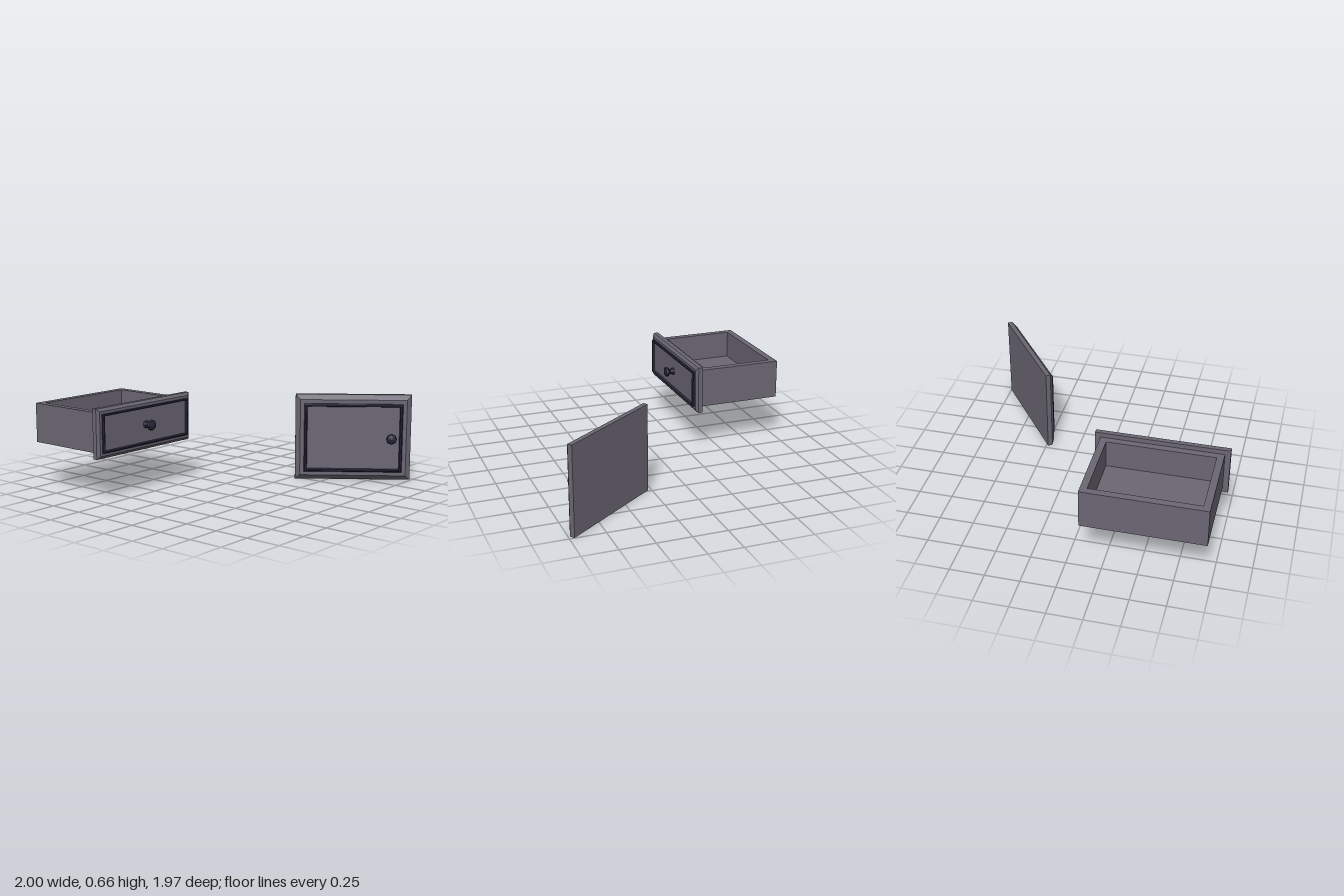
import * as THREE from 'three';

const wood = new THREE.MeshStandardMaterial({ color: 0x6b6774, flatShading: true });
const dark = new THREE.MeshStandardMaterial({ color: 0x29253b, flatShading: true });

// Skins a chain of rectangles [width, height, z]; caps close the first and last one
function rectLoft(rings, caps = true) {
  const loops = rings.map(([w, h, z]) =>
    [[1, 1], [-1, 1], [-1, -1], [1, -1]].map(([sx, sy]) => [sx * w / 2, sy * h / 2, z]));
  const pos = [];
  const quad = (a, b, c, d) => pos.push(...a, ...b, ...c, ...a, ...c, ...d);
  for (let r = 0; r < loops.length - 1; r++) {
    for (let i = 0; i < 4; i++) {
      const j = (i + 1) % 4;
      quad(loops[r][i], loops[r][j], loops[r + 1][j], loops[r + 1][i]);
    }
  }
  if (caps) {
    quad(...[...loops[0]].reverse());
    quad(...loops[loops.length - 1]);
  }
  const geo = new THREE.BufferGeometry();
  geo.setAttribute('position', new THREE.Float32BufferAttribute(pos, 3));
  geo.computeVertexNormals();
  return geo;
}

function part(name, geo, mat, x = 0, y = 0, z = 0) {
  const mesh = new THREE.Mesh(geo, mat);
  mesh.name = name;
  mesh.position.set(x, y, z);
  return mesh;
}

// Panel with a bevelled front, a raised moulding and a knob; its back lies on z = 0
function panelFront(name, { w, h, edge, depth, bevel, margin, trim, rise, knobX, knobY }) {
  const group = new THREE.Group();
  group.name = name;
  group.add(part(name + 'Panel', rectLoft([
    [w, h, 0], [w, h, edge], [w - 2 * bevel, h - 2 * bevel, depth],
  ]), wood));

  const inset = (d, z) => [w - 2 * (margin + d), h - 2 * (margin + d), z];
  group.add(part(name + 'Moulding', rectLoft([
    inset(0, depth - 0.005), inset(0, depth + rise * 0.6), inset(trim * 0.3, depth + rise),
    inset(trim * 0.7, depth + rise), inset(trim, depth - 0.005),
  ], false), dark));

  // Eight-sided knob: flared foot, narrow neck, faceted head
  const profile = [[0.03, -0.003], [0.019, 0.028], [0.021, 0.036], [0.041, 0.052], [0.036, 0.066], [0, 0.078]]
    .map(([r, y]) => new THREE.Vector2(r, y));
  const knob = new THREE.LatheGeometry(profile, 8).rotateX(Math.PI / 2);
  group.add(part(name + 'Knob', knob, dark, knobX, knobY, depth));
  return group;
}

export function createModel() {
  const model = new THREE.Group();
  model.name = 'drawerAndDoor';

  // Drawer: open tray with thick walls
  const drawer = new THREE.Group();
  drawer.name = 'drawer';
  const tray = rectLoft([
    [0.87, 0.63, 0.338], [0.87, 0.63, 0.625], [0.77, 0.53, 0.625], [0.77, 0.53, 0.42],
  ]).rotateX(-Math.PI / 2);
  drawer.add(part('drawerTray', tray, wood, -0.525, 0, -0.67));

  const front = panelFront('drawerFront', {
    w: 0.95, h: 0.355, edge: 0.034, depth: 0.05, bevel: 0.02,
    margin: 0.04, trim: 0.018, rise: 0.018, knobX: 0, knobY: 0.005,
  });
  front.position.set(-0.525, 0.4825, -0.357);
  drawer.add(front);
  model.add(drawer);

  // Door: swung open, pivoting on its back corner
  const hinge = new THREE.Group();
  hinge.name = 'door';
  const door = panelFront('doorFront', {
    w: 0.86, h: 0.645, edge: 0.035, depth: 0.065, bevel: 0.036,
    margin: 0.065, trim: 0.025, rise: 0.018, knobX: 0.28, knobY: 0.0025,
  });
  door.position.set(0.43, 0.3225, 0);
  hinge.add(door);
  hinge.position.set(0.485, 0, 0.276);
  hinge.rotation.y = -0.931;
  model.add(hinge);

  return model;
}
